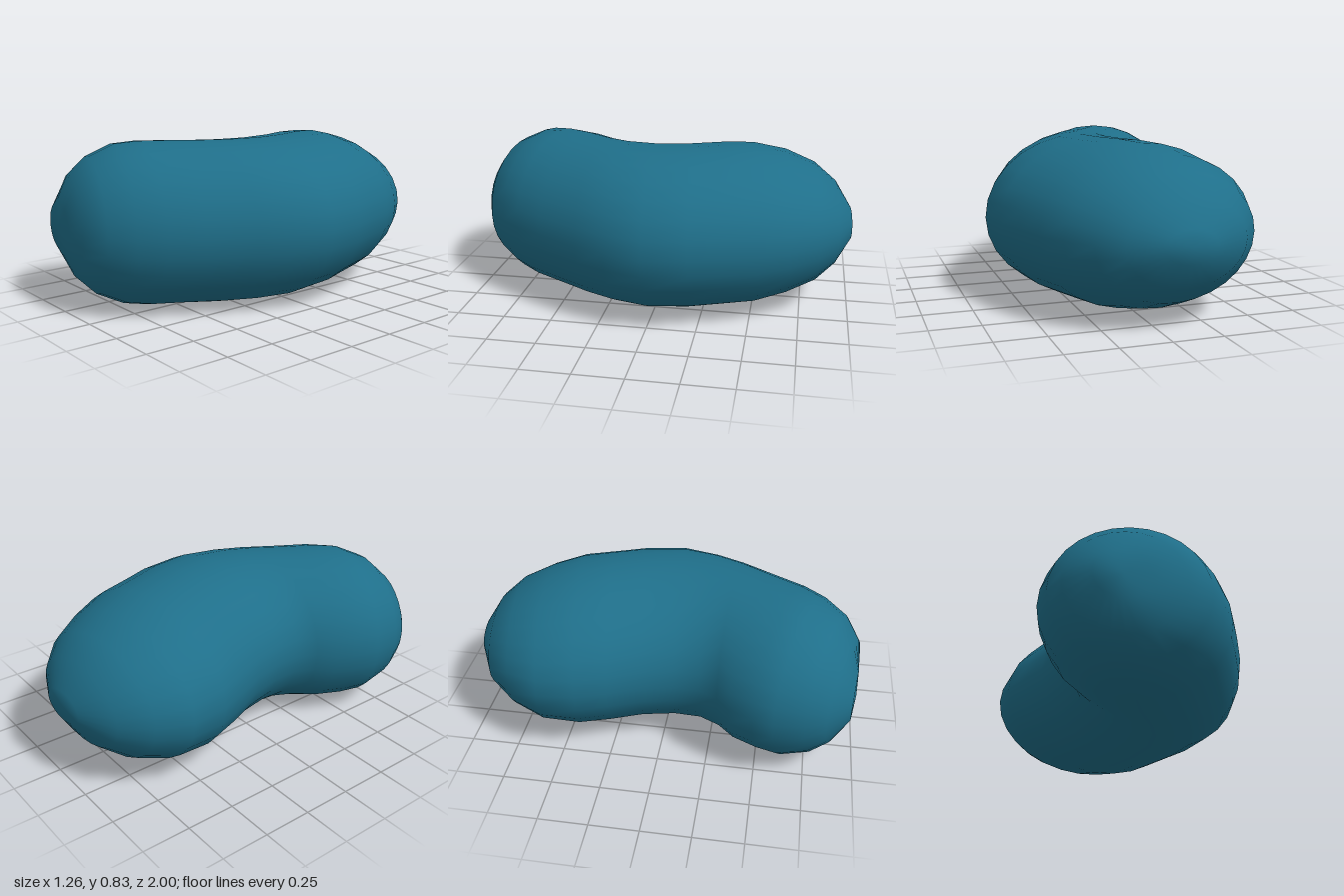
import * as THREE from 'three';
import { mergeVertices } from 'three/addons/utils/BufferGeometryUtils.js';

// Ribs across the bean, back to front: inner edge x, z, outer edge x, z, half height
const RIBS = [
  [-0.09, -0.995, -0.09, -0.995, 0],
  [-0.22, -0.985, 0.04, -1.0, 0.08],
  [-0.41, -0.89, 0.2, -0.93, 0.21],
  [-0.52, -0.755, 0.31, -0.84, 0.305],
  [-0.59, -0.59, 0.41, -0.7, 0.37],
  [-0.575, -0.4, 0.49, -0.55, 0.41],
  [-0.52, -0.25, 0.54, -0.38, 0.417],
  [-0.455, -0.09, 0.6, -0.22, 0.417],
  [-0.42, 0.07, 0.63, 0, 0.417],
  [-0.42, 0.2, 0.57, 0.2, 0.417],
  [-0.47, 0.295, 0.5, 0.36, 0.417],
  [-0.545, 0.36, 0.38, 0.58, 0.417],
  [-0.6, 0.48, 0.29, 0.73, 0.417],
  [-0.63, 0.58, 0.2, 0.84, 0.405],
  [-0.62, 0.73, 0.1, 0.94, 0.345],
  [-0.575, 0.83, -0.04, 0.995, 0.26],
  [-0.47, 0.95, -0.2, 0.985, 0.12],
  [-0.335, 0.975, -0.335, 0.975, 0],
];
const SIDES = 28;
const MID_Y = 0.418;

// Loft an elliptical ring through every rib
function beanGeometry() {
  const positions = [];
  const index = [];
  RIBS.forEach(([lx, lz, rx, rz, h], i) => {
    for (let j = 0; j < SIDES; j++) {
      const a = (j / SIDES) * Math.PI * 2;
      const t = (1 + Math.cos(a)) / 2;
      positions.push(lx + (rx - lx) * t, MID_Y + h * Math.sin(a), lz + (rz - lz) * t);
      if (i === RIBS.length - 1) continue;
      const p = i * SIDES + j;
      const q = i * SIDES + ((j + 1) % SIDES);
      // The end ribs are points, so they need only one triangle per side
      if (i > 0) index.push(p, q, p + SIDES);
      if (i < RIBS.length - 2) index.push(q, q + SIDES, p + SIDES);
    }
  });
  const geometry = new THREE.BufferGeometry();
  geometry.setAttribute('position', new THREE.Float32BufferAttribute(positions, 3));
  geometry.setIndex(index);
  const merged = mergeVertices(geometry, 1e-5);
  merged.computeVertexNormals();
  return merged;
}

export function createModel() {
  const group = new THREE.Group();
  group.name = 'bean';
  const body = new THREE.Mesh(beanGeometry(), new THREE.MeshStandardMaterial({ color: 0x1f6f8a }));
  body.name = 'beanBody';
  group.add(body);
  return group;
}
